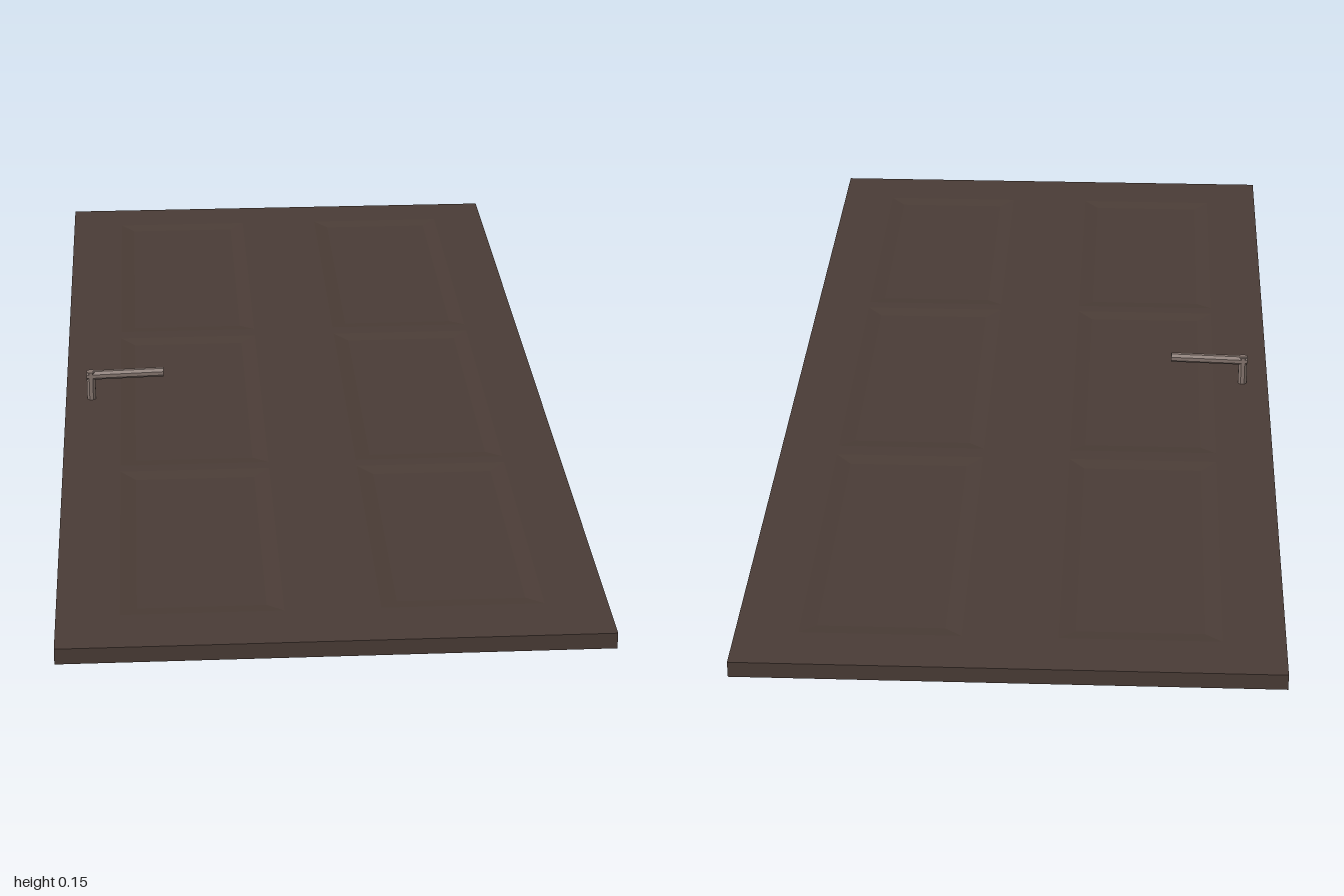
import * as THREE from 'three';

export function createModel() {
  const model = new THREE.Group();
  const wood = new THREE.MeshStandardMaterial({ color: 0x4a3c36 });
  wood.name = 'darkWood';
  const metal = new THREE.MeshStandardMaterial({ color: 0x85756e });
  metal.name = 'handleMetal';

  const halfW = 0.455, yBottom = 0.057, yTop = 0.085;
  const bevel = 0.028, recess = 0.004;
  const columns = [[-0.35, -0.08], [0.08, 0.35]];
  const rows = [[-0.905, -0.295], [-0.262, 0.33], [0.355, 0.893]];

  function add(name, geometry, material, parent = model) {
    const mesh = new THREE.Mesh(geometry, material);
    mesh.name = name;
    parent.add(mesh);
    return mesh;
  }

  function rectangle(x0, x1, y0, y1, Type) {
    return new Type([[x0, y0], [x1, y0], [x1, y1], [x0, y1]].map(p => new THREE.Vector2(...p)));
  }

  // Door frame: a slab with six openings
  const outline = rectangle(-halfW, halfW, -1, 1, THREE.Shape);
  for (const [x0, x1] of columns)
    for (const [z0, z1] of rows) outline.holes.push(rectangle(x0, x1, -z1, -z0, THREE.Path));
  const frame = new THREE.ExtrudeGeometry(outline, { depth: yTop - yBottom, bevelEnabled: false });
  frame.rotateX(-Math.PI / 2).translate(0, yBottom, 0);
  add('doorFrame', frame, wood);

  // Sunken panel: a sloped border around a flat field, facing up or down
  function panelGeometry(x0, x1, z0, z1, y, up) {
    const ring = (inset, h) => [
      [x0 + inset, h, z0 + inset], [x0 + inset, h, z1 - inset],
      [x1 - inset, h, z1 - inset], [x1 - inset, h, z0 + inset]];
    const points = [...ring(0, y), ...ring(bevel, y + (up ? -recess : recess))];
    const index = [4, 5, 6, 4, 6, 7];
    for (let i = 0; i < 4; i++) {
      const j = (i + 1) % 4;
      index.push(i, j, j + 4, i, j + 4, i + 4);
    }
    if (!up) index.reverse();
    const indexed = new THREE.BufferGeometry();
    indexed.setAttribute('position', new THREE.Float32BufferAttribute(points.flat(), 3));
    indexed.setIndex(index);
    const geometry = indexed.toNonIndexed();
    geometry.computeVertexNormals();
    return geometry;
  }
  for (const [x0, x1] of columns)
    for (const [z0, z1] of rows) {
      add('upperPanel', panelGeometry(x0, x1, z0, z1, yTop, true), wood);
      add('lowerPanel', panelGeometry(x0, x1, z0, z1, yBottom, false), wood);
    }

  // Handle: a spindle through the door with a lever on each face
  const handle = new THREE.Group();
  handle.name = 'handle';
  model.add(handle);
  const handleZ = 0.027, radius = 0.009;
  function rod(name, from, to) {
    const a = new THREE.Vector3(...from, handleZ), b = new THREE.Vector3(...to, handleZ);
    const geometry = new THREE.CylinderGeometry(radius, radius, a.distanceTo(b), 8);
    geometry.rotateY(Math.PI / 8);
    const mesh = add(name, geometry.toNonIndexed(), metal, handle);
    mesh.geometry.computeVertexNormals();
    mesh.position.copy(a).lerp(b, 0.5);
    mesh.quaternion.setFromUnitVectors(new THREE.Vector3(0, 1, 0), b.sub(a).normalize());
  }
  rod('spindle', [-0.406, 0], [-0.406, 0.141]);
  rod('upperLever', [-0.414, 0.133], [-0.267, 0.137]);
  rod('lowerLever', [-0.414, 0.011], [-0.267, 0.011]);

  return model;
}
